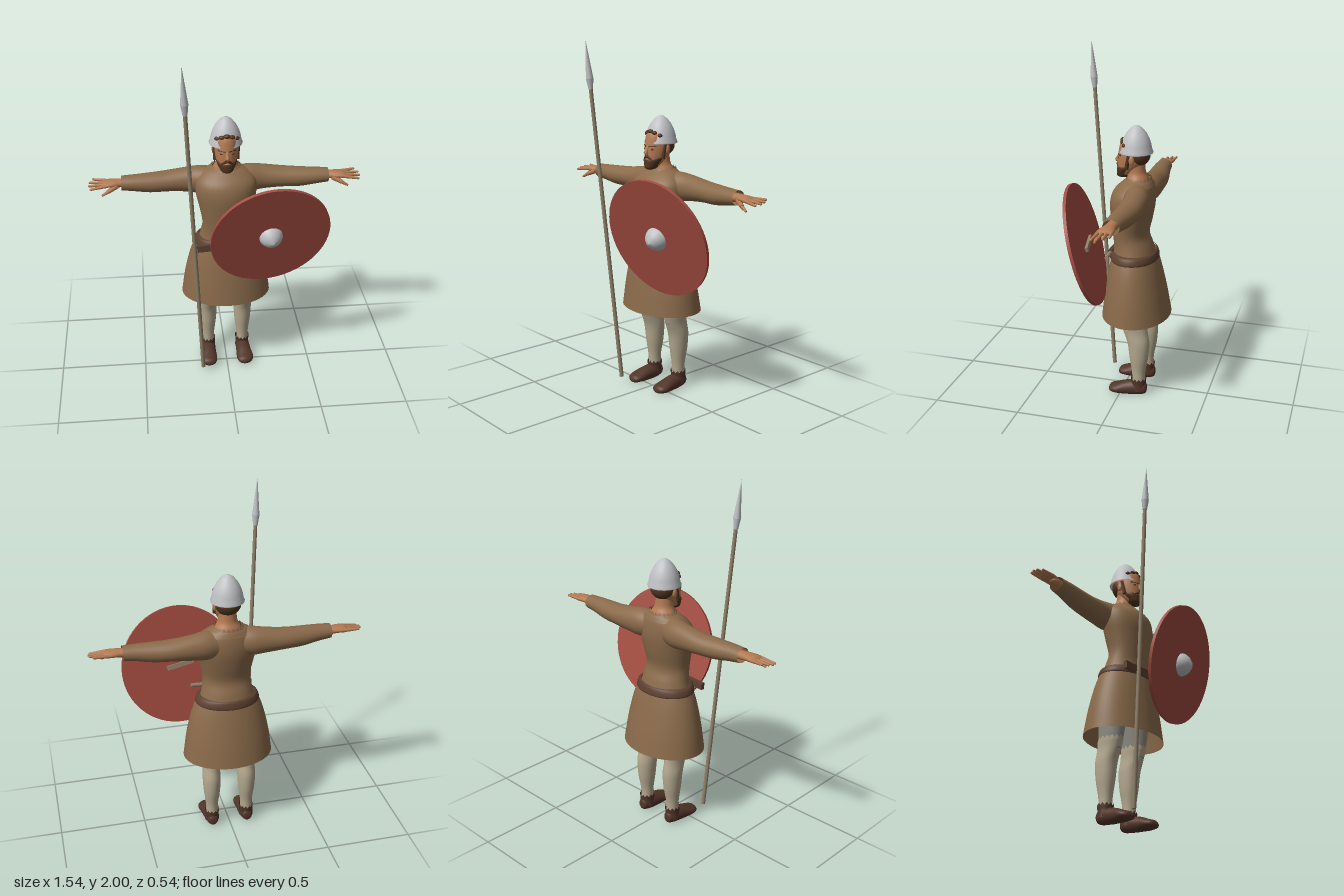
import * as THREE from 'three';

const mat = (name, color, side = THREE.FrontSide) => {
  const m = new THREE.MeshStandardMaterial({ color, side });
  m.name = name;
  return m;
};
const V = (x, y, z) => new THREE.Vector3(x, y, z);

// Smooth body through elliptical sections [x, y, z, radiusA, radiusB] along an axis.
// Radii: axis y -> (x, z), axis x -> (z, y), axis z -> (y, x). jag gives a ragged last ring.
function loft(sections, axis = 'y', { seg = 32, steps = 28, jag = 0, floor = -1 } = {}) {
  const [u, v] = { y: ['x', 'z'], x: ['z', 'y'], z: ['y', 'x'] }[axis];
  const mid = new THREE.CatmullRomCurve3(sections.map(s => V(s[0], s[1], s[2])), false, 'catmullrom', 0.5);
  const rad = new THREE.CatmullRomCurve3(sections.map(s => V(s[3], s[4], 0)), false, 'catmullrom', 0.5);
  const pos = [], idx = [];
  for (let i = 0; i <= steps; i++) {
    const c = mid.getPoint(i / steps), r = rad.getPoint(i / steps);
    for (let j = 0; j < seg; j++) {
      const a = j / seg * Math.PI * 2, p = c.clone();
      p[u] += Math.max(r.x, 0) * Math.cos(a);
      p[v] += Math.max(r.y, 0) * Math.sin(a);
      if (i === steps && j % 2) p[axis] += jag;
      p.y = Math.max(p.y, floor);
      pos.push(p.x, p.y, p.z);
      if (i < steps) {
        const k = (j + 1) % seg, b = i * seg, t = b + seg;
        idx.push(b + j, t + j, b + k, t + j, t + k, b + k);
      }
    }
  }
  const g = new THREE.BufferGeometry();
  g.setAttribute('position', new THREE.Float32BufferAttribute(pos, 3));
  g.setIndex(idx);
  g.computeVertexNormals();
  return g;
}

export function createModel() {
  const root = new THREE.Group();
  const D = THREE.DoubleSide;
  const cloth = mat('brown tunic', 0x8a6a4a, D), red = mat('red shield', 0xa34c40);
  const steel = mat('steel', 0xbfc0c3, D), wrap = mat('cream leg wraps', 0xb5a98f, D);
  const shoe = mat('shoe leather', 0x523529, D), skin = mat('skin', 0xb37a52);
  const hair = mat('dark hair', 0x50341f), leather = mat('belt leather', 0x5c4030);
  const wood = mat('ash wood', 0x8f8068), trouser = mat('grey trousers', 0x8f8c84);

  const add = (name, geo, m, x = 0, y = 0, z = 0) => {
    const mesh = new THREE.Mesh(geo, m);
    mesh.name = name;
    mesh.position.set(x, y, z);
    root.add(mesh);
    return mesh;
  };
  const ball = (name, m, x, y, z, rx, ry, rz) => {
    const b = add(name, new THREE.SphereGeometry(1, 20, 14), m, x, y, z);
    b.scale.set(rx, ry, rz);
    return b;
  };
  const rod = (name, m, a, b, ra, rb, seg = 12) => {
    const r = add(name, new THREE.CylinderGeometry(rb, ra, a.distanceTo(b), seg), m);
    r.position.lerpVectors(a, b, 0.5);
    r.quaternion.setFromUnitVectors(V(0, 1, 0), b.clone().sub(a).normalize());
    return r;
  };

  // Tunic: torso, ragged collar, flared skirt
  add('torso', loft([
    [0, 0.83, -0.055, 0.165, 0.122], [0, 0.90, -0.048, 0.145, 0.11], [0, 0.97, -0.033, 0.137, 0.102],
    [0, 1.06, -0.037, 0.153, 0.115], [0, 1.15, -0.042, 0.172, 0.125], [0, 1.22, -0.05, 0.168, 0.115],
    [0, 1.27, -0.068, 0.125, 0.085], [0, 1.295, -0.075, 0.075, 0.06]]), cloth);
  add('collar', loft([[0, 1.255, -0.07, 0.135, 0.092], [0, 1.28, -0.073, 0.105, 0.078],
    [0, 1.29, -0.075, 0.082, 0.068]], 'y', { seg: 40, steps: 6, jag: 0.015 }), cloth);
  add('skirt', loft([[0, 0.48, -0.068, 0.26, 0.197], [0, 0.62, -0.064, 0.24, 0.175],
    [0, 0.76, -0.059, 0.207, 0.148], [0, 0.86, -0.055, 0.168, 0.124]], 'y', { seg: 48, steps: 14 }), cloth);

  // Belt with a sheathed knife across the front
  add('belt', loft([[0, 0.82, -0.055, 0.168, 0.13], [0, 0.828, -0.055, 0.185, 0.138],
    [0, 0.862, -0.055, 0.174, 0.131], [0, 0.872, -0.055, 0.155, 0.12]], 'y', { seg: 48, steps: 9 }), leather);
  rod('knifeHandle', wood, V(0.08, 0.862, 0.068), V(0.185, 0.87, 0.06), 0.012, 0.012);
  const sheath = add('sheath', new THREE.BoxGeometry(0.26, 0.04, 0.022), leather, -0.045, 0.85, 0.07);
  sheath.rotation.z = 0.06;

  // Arms, hands, legs and shoes on both sides
  for (const s of [1, -1]) {
    const side = s > 0 ? 'left' : 'right';
    const along = list => {
      const m = list.map(([x, ...rest]) => [x * s, ...rest]);
      return s > 0 ? m : m.reverse();
    };
    add(side + 'Sleeve', loft(along([
      [0.06, 1.2, -0.085, 0.07, 0.075], [0.13, 1.2, -0.095, 0.075, 0.082], [0.21, 1.2, -0.105, 0.067, 0.072],
      [0.32, 1.197, -0.103, 0.066, 0.06], [0.42, 1.195, -0.094, 0.06, 0.056], [0.51, 1.2, -0.087, 0.052, 0.047],
      [0.585, 1.203, -0.085, 0.046, 0.04]]), 'x'), cloth);
    add(side + 'Hand', loft(along([
      [0.53, 1.203, -0.085, 0.03, 0.026], [0.59, 1.205, -0.083, 0.031, 0.023], [0.63, 1.207, -0.08, 0.04, 0.02],
      [0.67, 1.207, -0.08, 0.042, 0.016], [0.69, 1.207, -0.08, 0.025, 0.005]]), 'x', { seg: 20, steps: 14 }), skin);
    for (let i = 0; i < 4; i++) {
      const z = -0.112 + i * 0.022, tip = 0.74 + [0, 0.018, 0.022, 0.012][i];
      const base = V(0.66 * s, 1.207, z), end = V(tip * s, 1.213 - i * 0.006, z + (i - 1.5) * 0.008);
      rod(side + 'Finger', skin, base, end, 0.011, 0.007, 8);
      ball(side + 'Fingertip', skin, end.x, end.y, end.z, 0.008, 0.007, 0.007);
    }
    rod(side + 'Thumb', skin, V(0.61 * s, 1.198, -0.06), V(0.66 * s, 1.175, -0.035), 0.016, 0.012, 10);
    rod(side + 'ThumbTip', skin, V(0.655 * s, 1.177, -0.037), V(0.695 * s, 1.155, -0.03), 0.011, 0.006, 10);

    const x = 0.105 * s;
    add(side + 'Thigh', loft([[x, 0.4, -0.082, 0.046, 0.066], [x, 0.48, -0.075, 0.055, 0.076],
      [x * 0.95, 0.62, -0.065, 0.07, 0.085], [x * 0.85, 0.8, -0.06, 0.08, 0.09]]), trouser);
    add(side + 'Shin', loft([[x, 0.08, -0.108, 0.034, 0.036], [x, 0.15, -0.107, 0.037, 0.04],
      [x, 0.24, -0.108, 0.048, 0.055], [x, 0.33, -0.105, 0.053, 0.064], [x, 0.40, -0.088, 0.05, 0.071],
      [x, 0.455, -0.077, 0.054, 0.077]], 'y', { jag: 0.02 }), wrap);
    add(side + 'ShoeAnkle', loft([[x, 0.03, -0.105, 0.042, 0.047], [x, 0.07, -0.107, 0.04, 0.043],
      [x, 0.095, -0.107, 0.042, 0.046]], 'y', { seg: 24, steps: 8, jag: 0.015 }), shoe);
    add(side + 'Shoe', loft([[x, 0.035, -0.157, 0.001, 0.001], [x, 0.04, -0.148, 0.032, 0.027],
      [x, 0.04, -0.1, 0.045, 0.04], [x * 1.03, 0.033, -0.03, 0.042, 0.045], [x * 1.06, 0.026, 0.025, 0.029, 0.05],
      [x * 1.04, 0.022, 0.06, 0.02, 0.036], [x * 1.02, 0.018, 0.073, 0.001, 0.001]], 'z', { floor: 0 }), shoe);
  }

  // Neck and head
  add('neck', loft([[0, 1.24, -0.07, 0.09, 0.07], [0, 1.29, -0.07, 0.072, 0.06], [0, 1.33, -0.062, 0.053, 0.052],
    [0, 1.4, -0.055, 0.05, 0.052]]), skin);
  add('head', loft([[0, 1.3, 0.01, 0.003, 0.003], [0, 1.31, 0.005, 0.035, 0.033], [0, 1.345, -0.018, 0.054, 0.06],
    [0, 1.39, -0.037, 0.066, 0.08], [0, 1.44, -0.045, 0.069, 0.084], [0, 1.5, -0.05, 0.062, 0.073],
    [0, 1.55, -0.055, 0.02, 0.025]]), skin);
  add('beard', loft([[0, 1.29, 0.02, 0.002, 0.002], [0, 1.3, 0.014, 0.03, 0.033], [0, 1.325, 0.004, 0.046, 0.046],
    [0, 1.35, -0.008, 0.057, 0.054], [0, 1.368, -0.025, 0.058, 0.05]]), hair);
  ball('backHair', hair, 0, 1.425, -0.075, 0.071, 0.062, 0.064);
  rod('nose', skin, V(0, 1.425, 0.034), V(0, 1.388, 0.05), 0.007, 0.013, 8);
  ball('noseTip', skin, 0, 1.387, 0.047, 0.013, 0.009, 0.012);
  ball('mouth', skin, 0, 1.352, 0.042, 0.017, 0.005, 0.007);
  for (const s of [1, -1]) {
    rod('moustache', hair, V(0.002 * s, 1.37, 0.044), V(0.036 * s, 1.345, 0.03), 0.009, 0.006, 8);
    rod('eyebrow', hair, V(0.01 * s, 1.424, 0.038), V(0.05 * s, 1.427, 0.015), 0.006, 0.005, 8);
    ball('eye', hair, 0.028 * s, 1.409, 0.03, 0.012, 0.006, 0.006);
    rod('sideburn', hair, V(0.061 * s, 1.355, -0.02), V(0.066 * s, 1.44, -0.035), 0.012, 0.01, 8);
    ball('ear', skin, 0.069 * s, 1.405, -0.05, 0.01, 0.026, 0.016);
  }

  // Conical helmet with hair showing at the brow
  const profile = [[0.092, 0], [0.094, 0.006], [0.088, 0.018], [0.083, 0.045], [0.074, 0.075],
    [0.058, 0.107], [0.036, 0.135], [0.015, 0.15], [0, 0.154]];
  add('helmet', new THREE.LatheGeometry(profile.map(p => new THREE.Vector2(...p)), 40), steel, 0, 1.437, -0.06);
  [[-0.048, 1.487], [-0.025, 1.497], [0, 1.505], [0.025, 1.498], [0.05, 1.485]].forEach(([x, y]) =>
    ball('browHair', hair, x, y, 0.016 - x * x * 9, 0.02, 0.012, 0.014));

  // Round shield, leaning forward, with a steel boss
  const shield = new THREE.Group();
  shield.name = 'shield';
  const disc = new THREE.Mesh(new THREE.CylinderGeometry(0.342, 0.342, 0.018, 64), red);
  disc.name = 'shieldBoard';
  const boss = new THREE.Mesh(new THREE.LatheGeometry([[0.067, 0.008], [0.064, 0.022], [0.05, 0.045],
    [0.028, 0.064], [0, 0.074]].map(p => new THREE.Vector2(...p)), 32), steel);
  boss.name = 'shieldBoss';
  const grip = new THREE.Mesh(new THREE.BoxGeometry(0.16, 0.018, 0.025), wood);
  grip.name = 'shieldGrip';
  grip.position.y = -0.016;
  shield.add(disc, boss, grip);
  shield.position.set(0.23, 0.96, 0.165);
  shield.quaternion.setFromUnitVectors(V(0, 1, 0), V(0.13, -0.28, 1).normalize());
  root.add(shield);

  // Spear
  const foot = V(-0.152, 0.04, 0.112), tip = V(-0.248, 2, 0.27);
  const at = t => foot.clone().lerp(tip, t);
  rod('spearShaft', wood, foot, at(0.9), 0.012, 0.011);
  rod('spearSocket', steel, at(0.865), at(0.895), 0.013, 0.021);
  rod('spearPoint', steel, at(0.895), tip, 0.021, 0.0005);
  return root;
}
